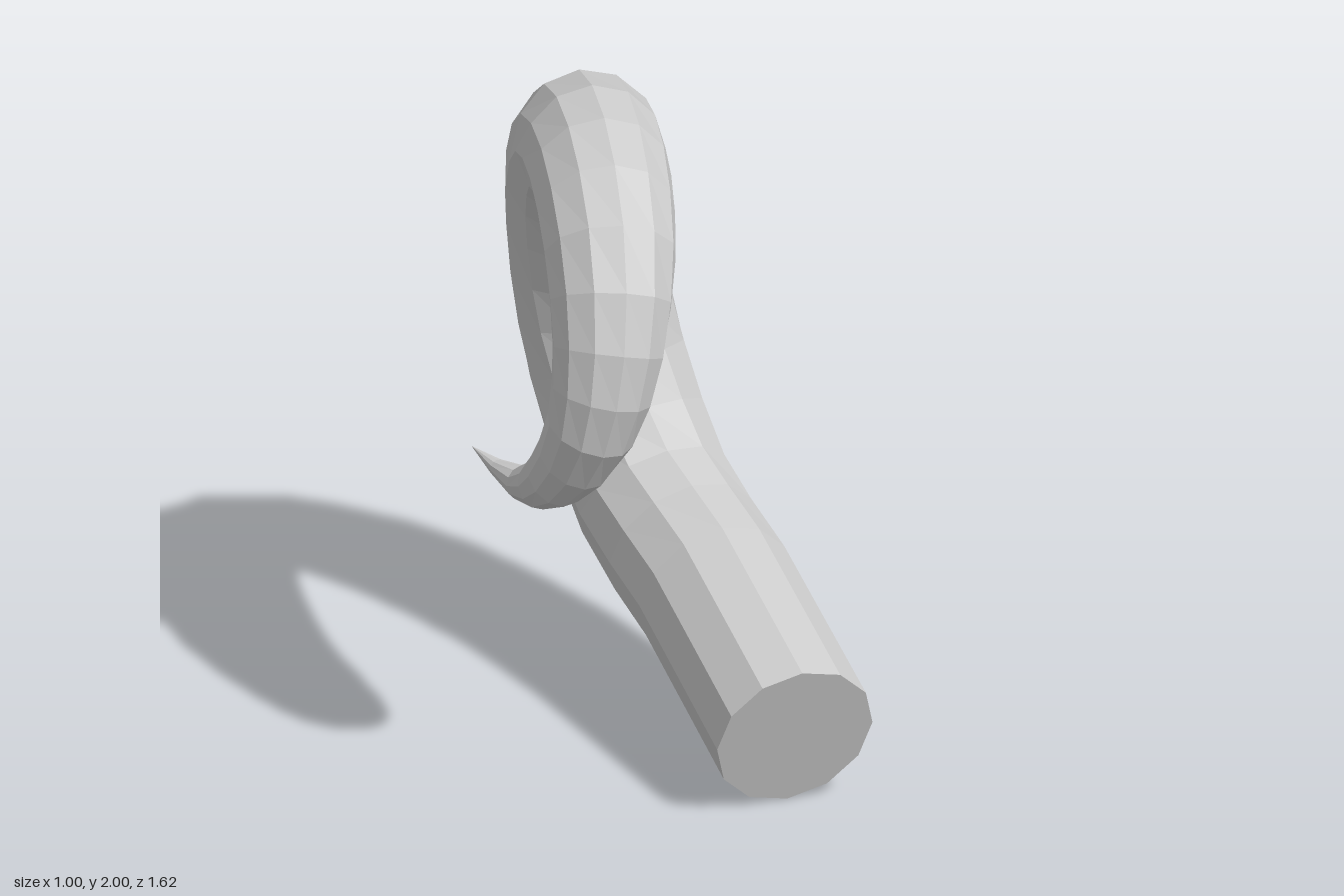
import * as THREE from 'three';

const SIDES = 12;

// Curl of the horn: x, y, z, radius, from the end of the straight root to the tip
const CURL = [
  [0.22, 0.43, 0.11, 0.238], [0.16, 0.575, -0.29, 0.236], [0.1, 0.905, -0.54, 0.236],
  [0.045, 1.24, -0.57, 0.23], [-0.012, 1.565, -0.44, 0.224], [-0.07, 1.765, -0.195, 0.212],
  [-0.125, 1.79, 0.1, 0.206], [-0.185, 1.67, 0.375, 0.194], [-0.24, 1.435, 0.525, 0.165],
  [-0.297, 1.2, 0.535, 0.132], [-0.36, 1.01, 0.415, 0.097], [-0.418, 0.925, 0.25, 0.05],
  [-0.5, 0.963, 0.045, 0],
];

// Ring centres and radii: one ring at the root, then two per curl point
function hornRings() {
  const spline = (pts) => new THREE.CatmullRomCurve3(pts, false, 'catmullrom', 0.5);
  const path = spline(CURL.map(([x, y, z]) => new THREE.Vector3(x, y, z)));
  const size = spline(CURL.map((p) => new THREE.Vector3(p[3], 0, 0)));
  const rings = [{ c: new THREE.Vector3(0.26, 0.235, 0.738), r: 0.241 }];
  const n = (CURL.length - 1) * 2;
  for (let i = 0; i <= n; i++) {
    rings.push({ c: path.getPoint(i / n), r: Math.max(0, size.getPoint(i / n).x) });
  }
  return rings;
}

// Twelve-sided tube swept through the rings, each square to the path
function hornGeometry() {
  const rings = hornRings();
  const last = rings.length - 1;
  const dir = (i) => rings[i + 1].c.clone().sub(rings[i].c).normalize();
  const pos = [];
  const index = [];
  rings.forEach(({ c, r }, i) => {
    const t = dir(Math.max(0, i - 1)).add(dir(Math.min(last - 1, i))).normalize();
    if (i === 0) t.copy(dir(0));
    const side = new THREE.Vector3(1, 0, 0).addScaledVector(t, -t.x).normalize();
    const up = t.clone().cross(side);
    for (let j = 0; j < SIDES; j++) {
      const a = (j / SIDES) * Math.PI * 2;
      const p = c.clone().addScaledVector(side, r * Math.cos(a)).addScaledVector(up, r * Math.sin(a));
      pos.push(p.x, p.y, p.z);
    }
  });
  for (let i = 0; i < last; i++) {
    for (let j = 0; j < SIDES; j++) {
      const k = (j + 1) % SIDES;
      const a = i * SIDES + j, b = i * SIDES + k;
      const c = a + SIDES, d = b + SIDES;
      index.push(a, b, c);
      if (i < last - 1) index.push(b, d, c);
    }
  }
  // Flat cut at the root
  for (let j = 1; j < SIDES - 1; j++) index.push(0, j + 1, j);

  const indexed = new THREE.BufferGeometry();
  indexed.setAttribute('position', new THREE.Float32BufferAttribute(pos, 3));
  indexed.setIndex(index);
  const geometry = indexed.toNonIndexed();
  geometry.computeVertexNormals();
  return geometry;
}

export function createModel() {
  const group = new THREE.Group();
  group.name = 'curledHorn';
  const material = new THREE.MeshStandardMaterial({ color: 0xcccccc, flatShading: true });
  const horn = new THREE.Mesh(hornGeometry(), material);
  horn.name = 'horn';
  group.add(horn);
  return group;
}
